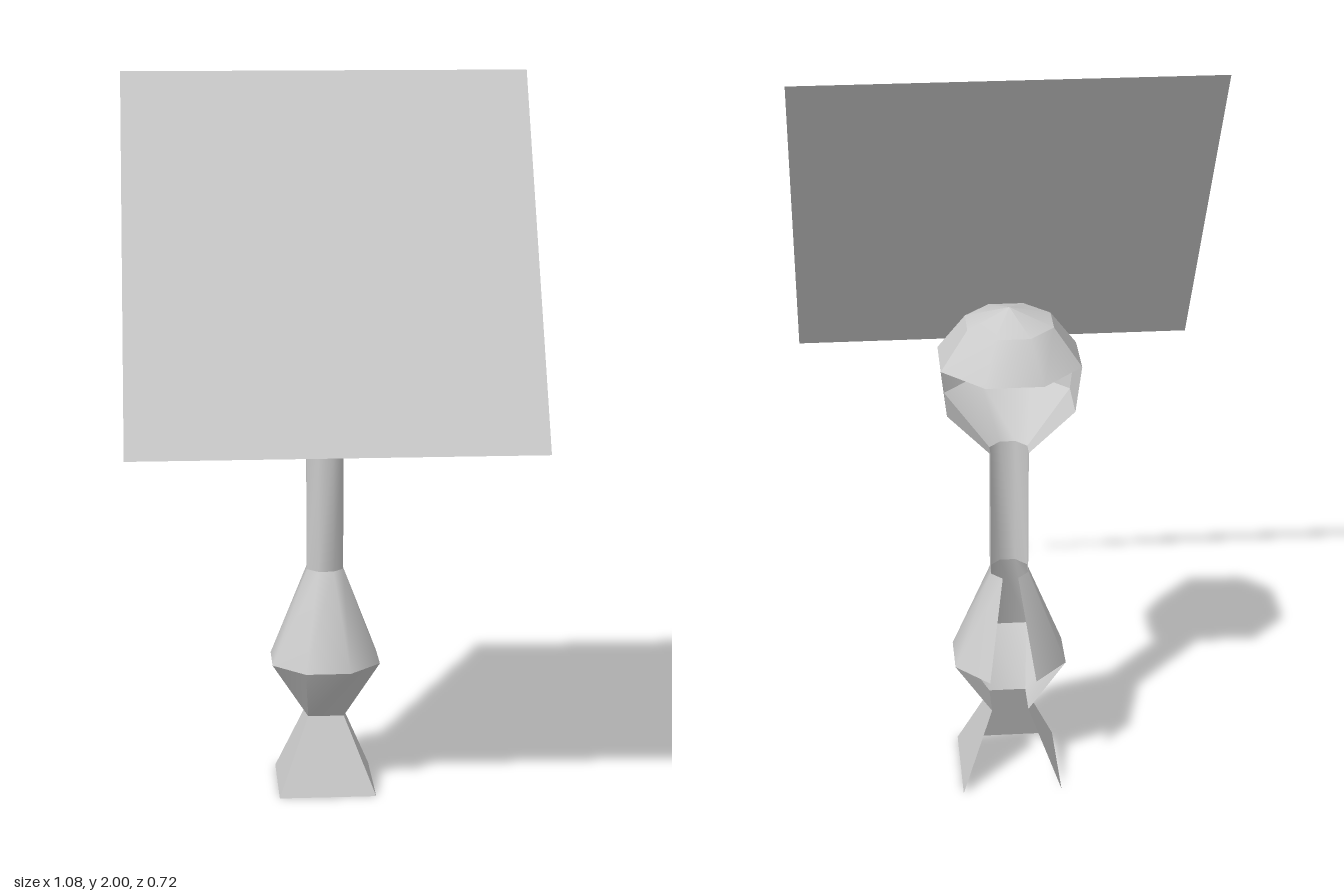
import * as THREE from 'three';

const CENTRE_Z = -0.18;

// Eight-cornered ring: flats face the axes, a is half the width
function octagon(y, a) {
  const r = a / Math.cos(Math.PI / 8);
  return Array.from({ length: 8 }, (_, i) => {
    const t = (i - 0.5) * Math.PI / 4;
    return [r * Math.sin(t), y, CENTRE_Z + r * Math.cos(t)];
  });
}

// Square ring with its corners doubled, so it can join an octagon
function square(y, a) {
  return Array.from({ length: 8 }, (_, i) => {
    const t = (i - 0.5) * Math.PI / 4;
    return [a * Math.sign(Math.sin(t)), y, CENTRE_Z + a * Math.sign(Math.cos(t))];
  });
}

// Smooth strip of side faces between two rings; face 0 is the front, 2 is +x, 4 the back
function strip(lower, upper, first, count) {
  const pos = [], index = [];
  for (let i = 0; i <= count; i++) {
    const k = (first + i) % 8;
    pos.push(...lower[k], ...upper[k]);
    if (i < count) {
      const n = i * 2;
      index.push(n, n + 2, n + 3, n, n + 3, n + 1);
    }
  }
  const g = new THREE.BufferGeometry();
  g.setAttribute('position', new THREE.Float32BufferAttribute(pos, 3));
  g.setIndex(index);
  g.computeVertexNormals();
  return g;
}

export function createModel() {
  const group = new THREE.Group();
  const grey = new THREE.MeshStandardMaterial({ color: 0xcccccc, side: THREE.DoubleSide });
  grey.name = 'lightGrey';

  const addPart = (name, lower, upper, runs) => {
    const part = new THREE.Group();
    part.name = name;
    for (const [first, count] of runs) {
      part.add(new THREE.Mesh(strip(lower, upper, first, count), grey));
    }
    group.add(part);
  };

  const frontFive = [[6, 5]];
  const headFront = [[7, 3], [2, 1], [6, 1]];

  // Square foot, open at the back and underneath
  addPart('foot', square(0, 0.135), square(0.21, 0.05), [[0, 1], [2, 1], [6, 1]]);

  // Stem: flare, cone and shaft, open at the back
  addPart('stemFlare', square(0.21, 0.05), octagon(0.365, 0.15), frontFive);
  addPart('stemCone', octagon(0.365, 0.15), octagon(0.63, 0.05), [[5, 7]]);
  addPart('shaft', octagon(0.63, 0.05), octagon(0.99, 0.05), frontFive);

  // Head: half-open bowl under a full cap
  addPart('headBowl', octagon(0.99, 0.05), octagon(1.13, 0.165), headFront);
  addPart('headBand', octagon(1.13, 0.165), octagon(1.26, 0.18), headFront);
  addPart('capRim', octagon(1.26, 0.18), octagon(1.36, 0.11), [...headFront, [3, 3]]);
  addPart('capTop', octagon(1.36, 0.11), octagon(1.4, 0), [[0, 8]]);

  // Flat panel leaning back over the head
  const rise = 0.935, run = 0.54;
  const panel = new THREE.Mesh(new THREE.PlaneGeometry(1.084, Math.hypot(rise, run)), grey);
  panel.name = 'panel';
  panel.position.set(0, 2 - rise / 2, 0.36 - run / 2);
  panel.rotation.x = -Math.atan2(run, rise);
  group.add(panel);

  return group;
}
